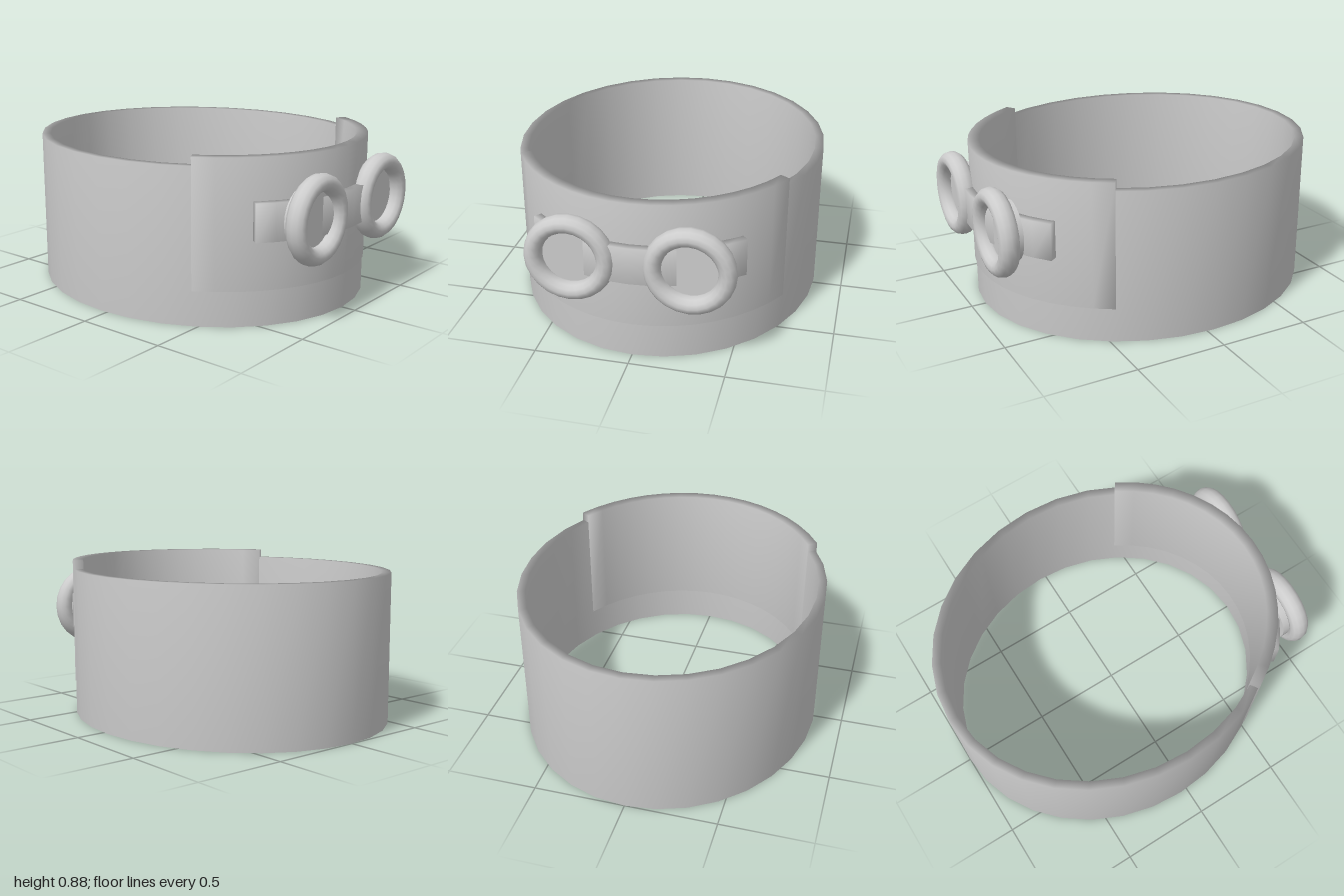
import * as THREE from 'three';

const CENTER_Z = -0.04;

// Curved strip of rectangular section following an ellipse; angle 0 faces +z.
// Vertices are shared so the shading rolls softly over the edges.
function ellipseStrip([rxIn, rzIn], [rxOut, rzOut], y0, y1, t0, t1, segments, closed = false) {
  const pos = [], idx = [];
  const rings = closed ? segments : segments + 1;
  for (let i = 0; i < rings; i++) {
    const t = t0 + (t1 - t0) * i / segments, s = Math.sin(t), c = Math.cos(t);
    for (const [rx, rz, y] of [[rxOut, rzOut, y0], [rxOut, rzOut, y1], [rxIn, rzIn, y1], [rxIn, rzIn, y0]]) {
      pos.push(rx * s, y, CENTER_Z + rz * c);
    }
  }
  for (let i = 0; i < segments; i++) {
    const p = i * 4, q = ((i + 1) % rings) * 4;
    for (let j = 0; j < 4; j++) {
      const k = (j + 1) % 4;
      idx.push(p + j, q + j, q + k, p + j, q + k, p + k);
    }
  }
  if (!closed) {
    const e = segments * 4;
    idx.push(0, 1, 2, 0, 2, 3, e, e + 2, e + 1, e, e + 3, e + 2);
  }
  const g = new THREE.BufferGeometry();
  g.setAttribute('position', new THREE.Float32BufferAttribute(pos, 3));
  g.setIndex(idx);
  g.computeVertexNormals();
  return g;
}

export function createModel() {
  const model = new THREE.Group();
  model.name = 'goggleHeadband';
  const grey = new THREE.MeshStandardMaterial({ color: 0xcccccc });
  grey.name = 'light grey';

  const add = (name, geometry, x = 0, y = 0, z = 0) => {
    const mesh = new THREE.Mesh(geometry, grey);
    mesh.name = name;
    mesh.position.set(x, y, z);
    model.add(mesh);
    return mesh;
  };

  // Oval band and the raised plate wrapped around its front
  add('headband', ellipseStrip([0.795, 0.91], [0.84, 0.96], 0, 0.83, 0, Math.PI * 2, 32, true));
  add('frontPlate', ellipseStrip([0.788, 0.903], [0.845, 0.965], 0.19, 0.876, -1.009, 1.009, 16));

  // Strap carrying the goggles
  add('goggleStrap', ellipseStrip([0.84, 0.96], [0.89, 1.01], 0.455, 0.655, -0.673, 0.673, 12));

  // Goggle rims and lenses
  for (const side of [-1, 1]) {
    const label = side > 0 ? 'left' : 'right';
    const rim = add(label + 'GoggleRim', new THREE.TorusGeometry(0.188, 0.047, 12, 24), side * 0.306, 0.555, 0.945);
    rim.scale.z = 1.17;
    const lens = new THREE.CylinderGeometry(0.164, 0.164, 0.075, 24).rotateX(Math.PI / 2);
    add(label + 'GoggleLens', lens, side * 0.306, 0.555, 0.8945);
  }
  return model;
}
